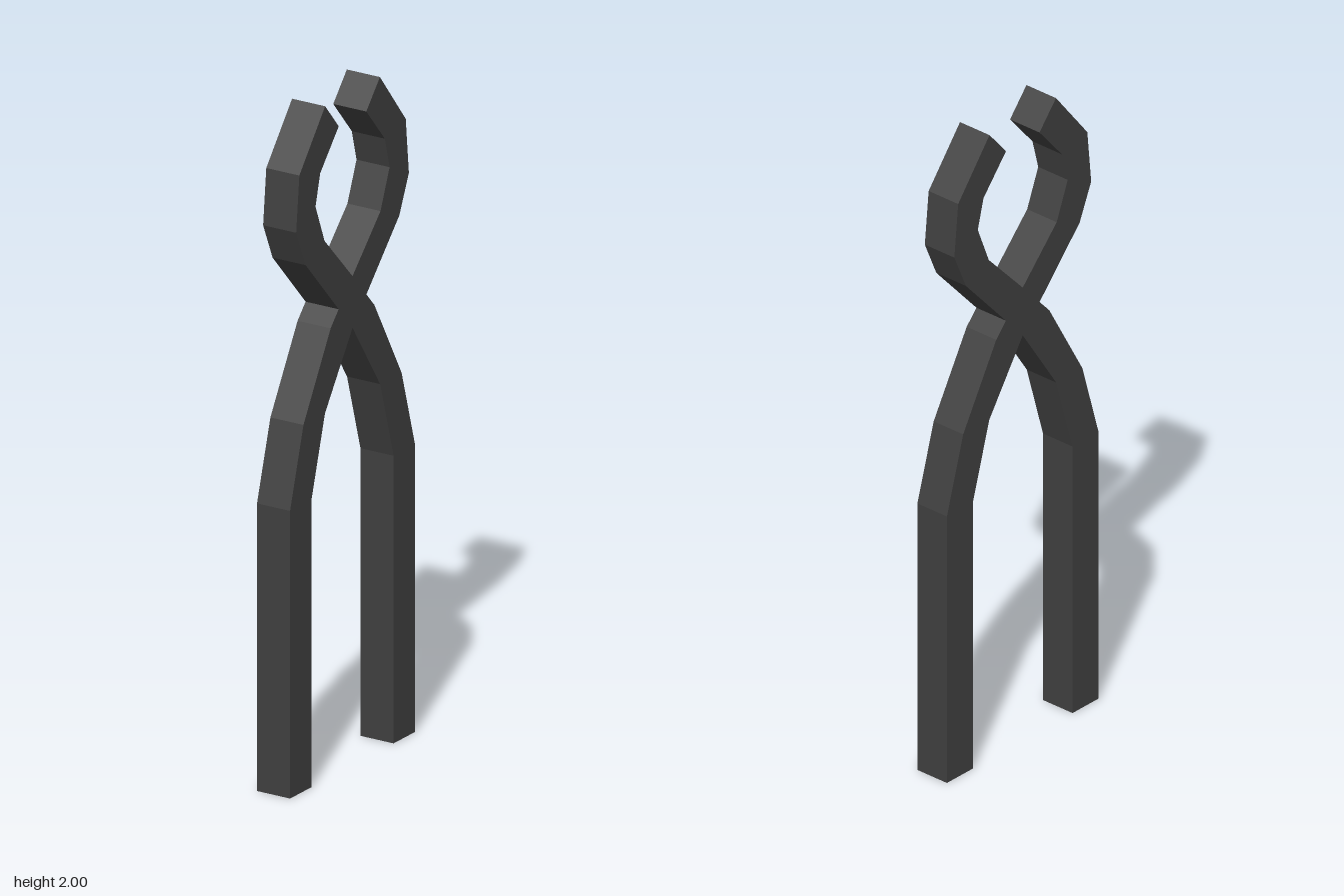
import * as THREE from 'three';

const THICKNESS = 0.11;

// Side outline of one arm as (z, y): straight handle, crossing, curved jaw
const ARM = [
  [0.317, 0], [0.317, 0.854], [0.249, 1.088], [0.111, 1.332], // outer handle
  [0, 1.452], [-0.142, 1.601], [-0.188, 1.717], [-0.164, 1.809], [-0.07, 1.919], // inner jaw
  [-0.139, 2], [-0.27, 1.835], [-0.286, 1.67], [-0.238, 1.559], // outer jaw
  [0, 1.299], [0.14, 1.088], [0.208, 0.854], [0.208, 0], // inner handle
];

// One flat-sided arm; side = 1 or -1 mirrors it front to back
function makeArm(side, material) {
  const shape = new THREE.Shape(ARM.map(([z, y]) => new THREE.Vector2(z * side, y)));
  const geometry = new THREE.ExtrudeGeometry(shape, { depth: THICKNESS, bevelEnabled: false });
  geometry.translate(0, 0, -THICKNESS / 2);
  geometry.rotateY(-Math.PI / 2);
  return new THREE.Mesh(geometry, material);
}

export function createModel() {
  const group = new THREE.Group();
  group.name = 'tongs';
  const iron = new THREE.MeshStandardMaterial({ color: 0x404040 });
  iron.name = 'darkIron';

  for (const [name, side] of [['frontHandleArm', 1], ['backHandleArm', -1]]) {
    const arm = makeArm(side, iron);
    arm.name = name;
    group.add(arm);
  }
  return group;
}
